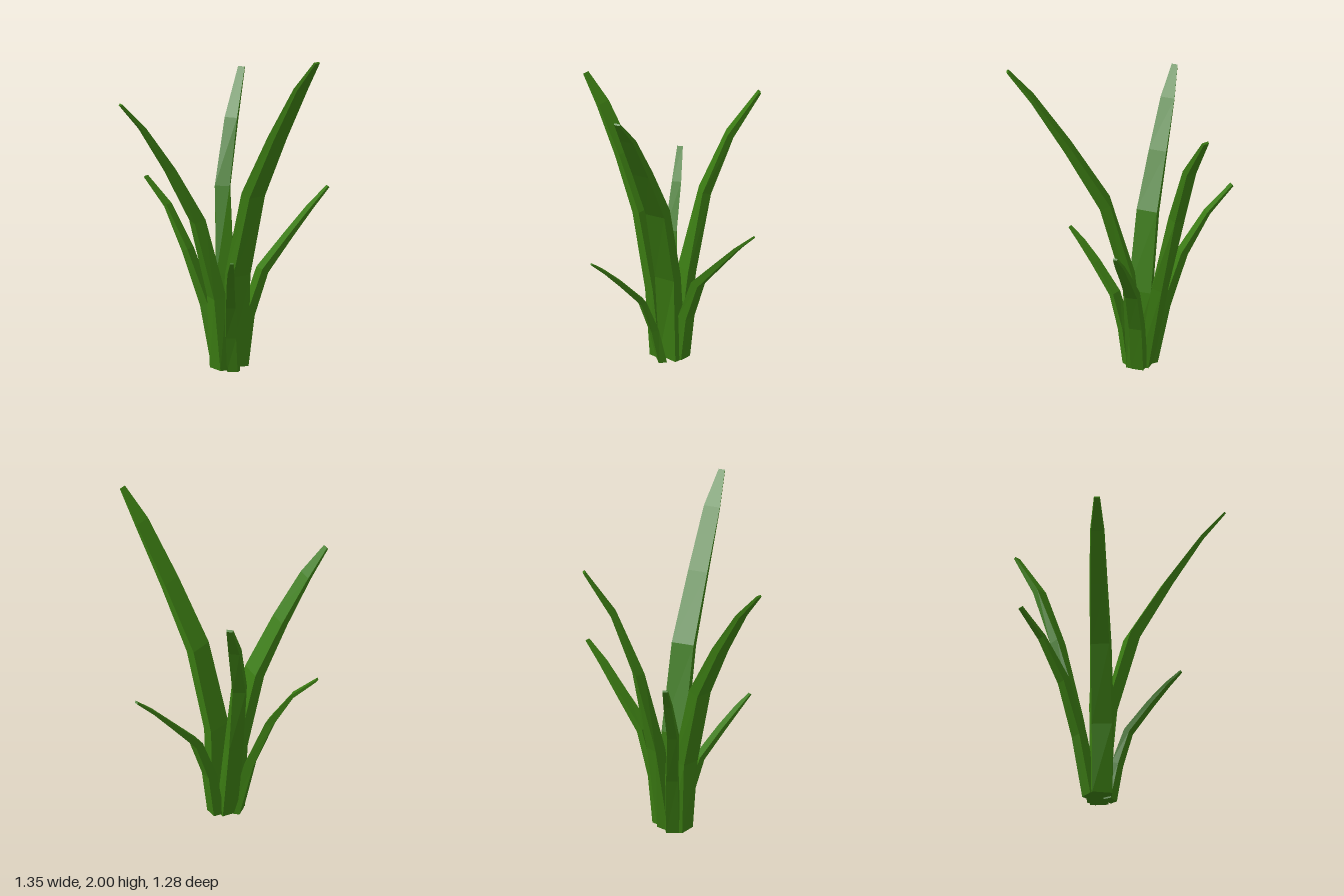
import * as THREE from 'three';

// Sweeps a tapering four-sided section along a list of centre points.
// Each station is [x, y, z, width, thickness]; the underside is slightly narrower.
function bladeGeometry(stations) {
  const pts = stations.map(s => new THREE.Vector3(s[0], s[1], s[2]));
  const pos = [], index = [];
  const last = pts.length - 1;
  stations.forEach(([, y, , width, thick], i) => {
    const dir = (a, b) => pts[b].clone().sub(pts[a]).normalize();
    const t = new THREE.Vector3();
    if (i > 0) t.add(dir(i - 1, i));
    if (i < last) t.add(dir(i, i + 1));
    t.normalize();
    const flat = Math.hypot(t.x, t.z);
    const n = new THREE.Vector3(-t.x / flat * t.y, flat, -t.z / flat * t.y);
    const w = new THREE.Vector3().crossVectors(n, t);
    for (const [a, b] of [[-0.43, -0.5], [0.43, -0.5], [0.5, 0.5], [-0.5, 0.5]]) {
      const p = pts[i].clone().addScaledVector(w, a * width).addScaledVector(n, b * thick);
      pos.push(p.x, i === 0 ? y : p.y, p.z);   // the root is cut level
    }
  });
  for (let i = 0; i < last; i++) {
    for (let k = 0; k < 4; k++) {
      const a = i * 4 + k, b = i * 4 + (k + 1) % 4;
      index.push(a, b, b + 4, a, b + 4, a + 4);
    }
  }
  const e = last * 4;
  index.push(0, 2, 1, 0, 3, 2, e, e + 1, e + 2, e, e + 2, e + 3);
  const g = new THREE.BufferGeometry();
  g.setAttribute('position', new THREE.Float32BufferAttribute(pos, 3));
  g.setIndex(index);
  const out = g.toNonIndexed();
  out.computeVertexNormals();
  return out;
}

export function createModel() {
  const group = new THREE.Group();
  group.name = 'grassTuft';
  const leafGreen = new THREE.MeshStandardMaterial({ color: 0x3a7a12, flatShading: true });
  leafGreen.name = 'leafGreen';

  const blades = {
    // tallest blade, leaning left
    tallBlade: [
      [-0.09, 0.02, -0.04, 0.15, 0.08], [-0.05, 0.585, -0.027, 0.148, 0.068],
      [0.092, 1.095, -0.025, 0.14, 0.066], [0.31, 1.475, -0.022, 0.122, 0.046],
      [0.522, 1.81, -0.022, 0.102, 0.024], [0.668, 1.995, -0.02, 0.04, 0.012],
    ],
    frontBlade: [
      [-0.125, 0.01, 0.045, 0.14, 0.08], [-0.13, 0.45, 0.075, 0.14, 0.075],
      [-0.178, 0.925, 0.185, 0.128, 0.068], [-0.245, 1.24, 0.342, 0.108, 0.048],
      [-0.308, 1.505, 0.503, 0.086, 0.026], [-0.355, 1.66, 0.633, 0.036, 0.014],
    ],
    backRightBlade: [
      [-0.15, 0.015, -0.04, 0.11, 0.07], [-0.235, 0.55, -0.078, 0.105, 0.065],
      [-0.33, 1.05, -0.15, 0.09, 0.055], [-0.4, 1.43, -0.28, 0.078, 0.04],
      [-0.487, 1.705, -0.433, 0.042, 0.015],
    ],
    rightBlade: [
      [-0.18, 0.01, 0.01, 0.09, 0.065], [-0.262, 0.38, 0.038, 0.08, 0.055],
      [-0.375, 0.695, 0.088, 0.07, 0.045], [-0.522, 0.945, 0.117, 0.056, 0.022],
      [-0.67, 1.1, 0.16, 0.034, 0.012],
    ],
    backBlade: [
      [-0.105, 0.025, -0.095, 0.09, 0.07], [-0.09, 0.32, -0.137, 0.09, 0.055],
      [-0.06, 0.58, -0.225, 0.085, 0.048], [-0.015, 0.77, -0.385, 0.07, 0.032],
      [0.028, 0.93, -0.52, 0.058, 0.02], [0.06, 1.045, -0.633, 0.028, 0.012],
    ],
    frontLeftBlade: [
      [-0.055, 0, 0.01, 0.075, 0.05], [-0.025, 0.22, 0.05, 0.072, 0.045],
      [0.028, 0.42, 0.1, 0.065, 0.035], [0.135, 0.58, 0.195, 0.056, 0.028],
      [0.215, 0.685, 0.262, 0.046, 0.018], [0.283, 0.76, 0.315, 0.022, 0.01],
    ],
  };

  for (const [name, stations] of Object.entries(blades)) {
    const mesh = new THREE.Mesh(bladeGeometry(stations), leafGreen);
    mesh.name = name;
    group.add(mesh);
  }
  return group;
}
